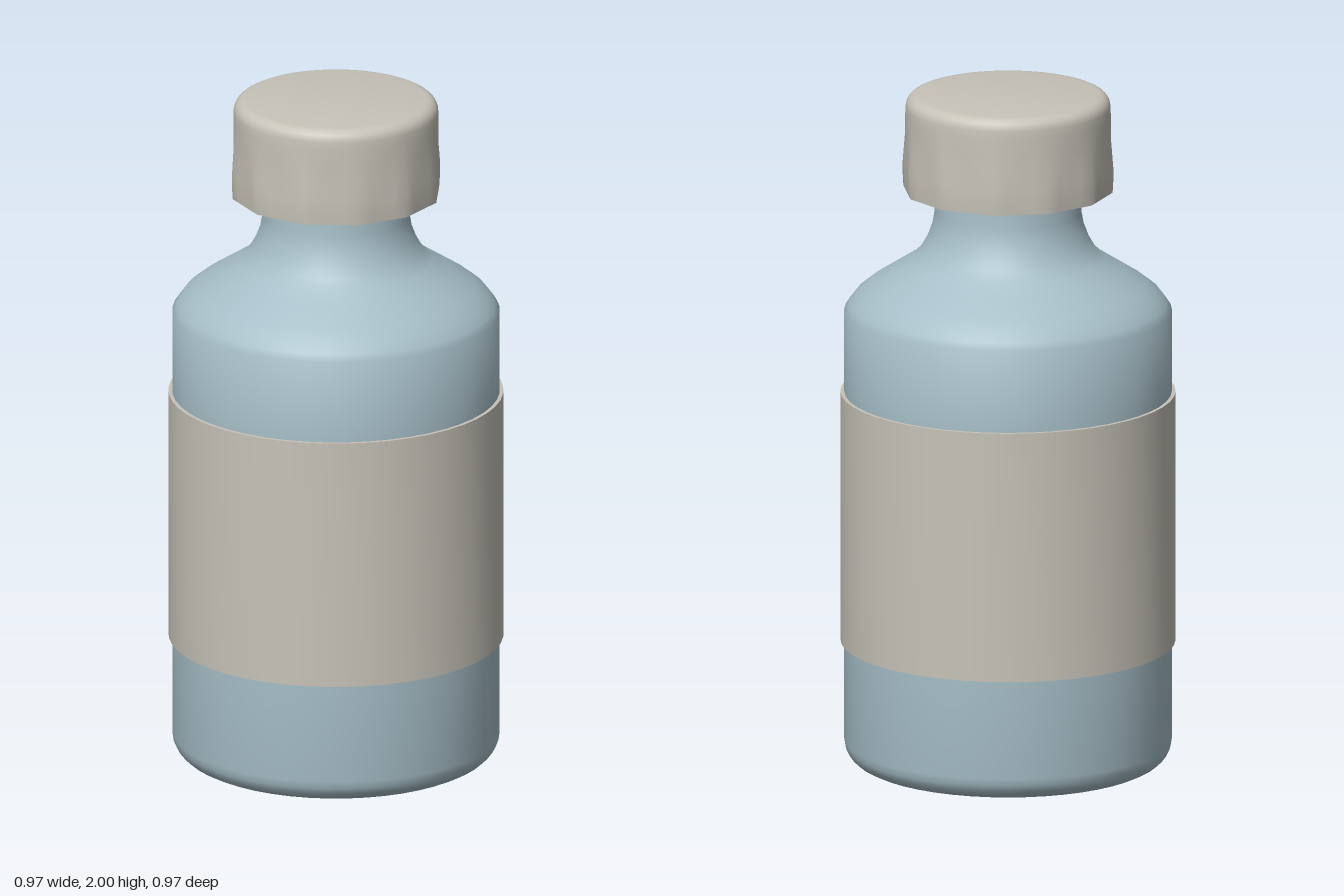
import * as THREE from 'three';
import { toCreasedNormals } from 'three/addons/utils/BufferGeometryUtils.js';

const SEGMENTS = 48;
const glassBlue = new THREE.MeshStandardMaterial({ color: 0xa6bec7 });
const warmGrey = new THREE.MeshStandardMaterial({ color: 0xc6c2b8 });

// Revolved profile, listed from the bottom up; reshape may move the vertices
function turned(name, profile, material, reshape) {
  const points = profile.map(([r, y]) => new THREE.Vector2(r, y));
  const geometry = new THREE.LatheGeometry(points, SEGMENTS);
  if (reshape) reshape(geometry.attributes.position);
  const mesh = new THREE.Mesh(toCreasedNormals(geometry, 0.75), material);
  mesh.name = name;
  return mesh;
}

// Quarter-round corner points
function fillet(cx, cy, radius, from, to, steps = 5) {
  return Array.from({ length: steps + 1 }, (_, i) => {
    const a = from + ((to - from) * i) / steps;
    return [cx + radius * Math.cos(a), cy + radius * Math.sin(a)];
  });
}

// Blend the round cap top into a twelve-sided grip below
function facetGrip(position) {
  const step = Math.PI / 6;
  for (let i = 0; i < position.count; i++) {
    const x = position.getX(i), y = position.getY(i), z = position.getZ(i);
    if (Math.hypot(x, z) < 0.25) continue;
    const angle = Math.atan2(x, z) + Math.PI * 2;
    const offset = (angle % step) - step / 2;
    const polygon = Math.cos(step / 2) / Math.cos(offset);
    const blend = 1 - THREE.MathUtils.smoothstep(y, 1.78, 1.94);
    const k = 1 + (polygon - 1) * blend;
    position.setXYZ(i, x * k, y, z * k);
  }
}

export function createModel() {
  const group = new THREE.Group();
  group.name = 'bottle';

  // Body with rounded base, sloping shoulder and neck
  group.add(turned('body', [
    [0, 0],
    ...fillet(0.405, 0.07, 0.07, -Math.PI / 2, 0),
    [0.475, 0.4], [0.475, 1.1], [0.475, 1.355],
    [0.462, 1.375], [0.443, 1.4], [0.405, 1.43], [0.335, 1.475],
    [0.28, 1.51], [0.255, 1.535], [0.235, 1.57], [0.22, 1.61],
    [0.213, 1.65], [0.212, 1.74],
  ], glassBlue));

  // Label sleeve
  group.add(turned('label', [
    [0.47, 0.365], [0.486, 0.365], [0.486, 1.11], [0.47, 1.11],
  ], warmGrey));

  // Screw cap
  group.add(turned('cap', [
    [0.2, 1.715], [0.306, 1.715], [0.308, 1.75], [0.308, 1.79],
    [0.304, 1.84], [0.3, 1.89], [0.298, 1.94],
    ...fillet(0.262, 1.965, 0.035, 0, Math.PI / 2),
    [0, 2],
  ], warmGrey, facetGrip));

  return group;
}
